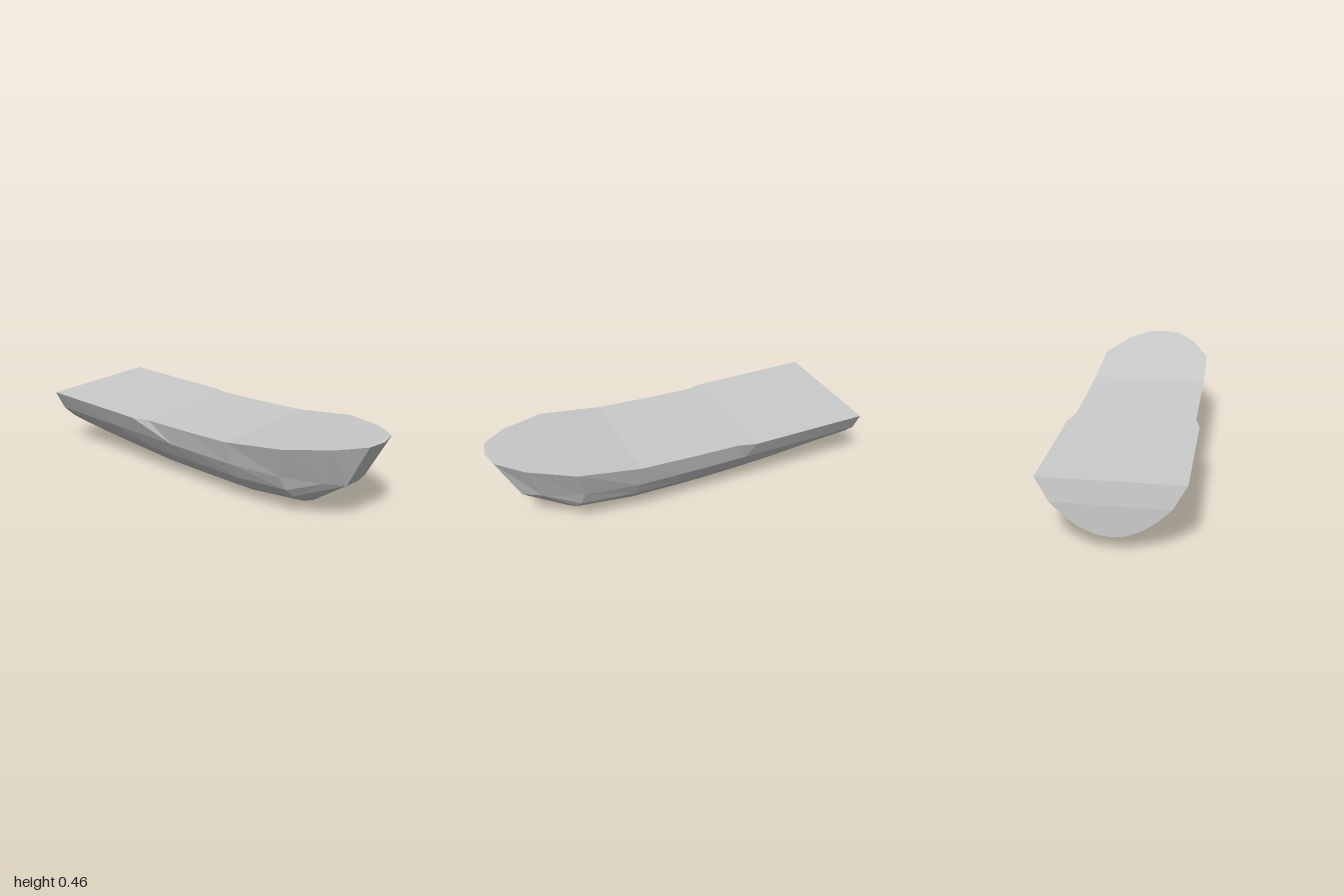
import * as THREE from 'three';

// Half sections from stern to bow: [x, y, z] from deck edge down to keel
const section = (zDeck, z, xy) => xy.map(([x, y], i) => [x, y, i === 0 ? zDeck : z]);
const stations = [
  section(-0.988, -1, [[0.336, 0.35], [0.272, 0.237], [0.205, 0.17], [0.145, 0.125], [0.065, 0.09], [0, 0.083]]),
  section(-0.78, -0.78, [[0.336, 0.35], [0.276, 0.238], [0.212, 0.163], [0.153, 0.11], [0.075, 0.069], [0, 0.057]]),
  section(-0.55, -0.55, [[0.336, 0.35], [0.28, 0.24], [0.218, 0.156], [0.16, 0.098], [0.085, 0.05], [0, 0.03]]),
  section(-0.34, -0.31, [[0.336, 0.35], [0.28, 0.24], [0.22, 0.15], [0.163, 0.089], [0.09, 0.035], [0, 0.004]]),
  section(-0.24, -0.1, [[0.312, 0.352], [0.28, 0.24], [0.22, 0.148], [0.165, 0.085], [0.09, 0.033], [0, 0.001]]),
  section(0, 0.05, [[0.312, 0.358], [0.278, 0.24], [0.22, 0.148], [0.165, 0.085], [0.09, 0.033], [0, 0]]),
  section(0.3, 0.3, [[0.314, 0.371], [0.272, 0.24], [0.22, 0.15], [0.163, 0.087], [0.09, 0.034], [0, 0.003]]),
];
// Bow shoulder, then facets gathering onto the stem
const b = [0.135, 0.227, 0.77], c = [0.08, 0.225, 0.86], d = [0, 0.224, 0.87];
stations.push(
  [[0.306, 0.42, 0.63], [0.235, 0.24, 0.58], [0.195, 0.16, 0.59], [0.15, 0.112, 0.6], [0.072, 0.063, 0.615], [0, 0.045, 0.625]],
  [[0.205, 0.446, 0.855], b, b, b, c, d],
  [[0.098, 0.461, 0.98], c, c, c, c, d],
  [[0, 0.462, 1], d, d, d, d, d],
);

const mirror = ([x, y, z]) => [-x, y, z];

// Flat-shaded mesh from a list of quads, dropping collapsed triangles
function facetMesh(name, quads, material) {
  const pos = [];
  const V = (p) => new THREE.Vector3(...p);
  const tri = (p, q, r) => {
    const area = V(q).sub(V(p)).cross(V(r).sub(V(p))).length();
    if (area > 1e-7) pos.push(...p, ...q, ...r);
  };
  for (const [p, q, r, s] of quads) {
    tri(p, q, r);
    tri(p, r, s);
  }
  const geometry = new THREE.BufferGeometry();
  geometry.setAttribute('position', new THREE.Float32BufferAttribute(pos, 3));
  geometry.computeVertexNormals();
  const mesh = new THREE.Mesh(geometry, material);
  mesh.name = name;
  return mesh;
}

export function createModel() {
  const group = new THREE.Group();
  group.name = 'boatHull';
  const material = new THREE.MeshStandardMaterial({ color: 0xcccccc, flatShading: true, side: THREE.DoubleSide });

  const sides = [], deck = [], transom = [];
  for (let i = 0; i < stations.length - 1; i++) {
    const s = stations[i], t = stations[i + 1];
    // Planking on both sides
    for (let j = 0; j < s.length - 1; j++) {
      const quad = [s[j], t[j], t[j + 1], s[j + 1]];
      sides.push([...quad].reverse(), quad.map(mirror));
    }
    // Deck strip across the hull
    deck.push([s[0], mirror(s[0]), mirror(t[0]), t[0]]);
  }
  // Flat stern
  const stern = stations[0];
  for (let j = 0; j < stern.length - 1; j++) {
    transom.push([stern[j], stern[j + 1], mirror(stern[j + 1]), mirror(stern[j])]);
  }

  group.add(
    facetMesh('hullSides', sides, material),
    facetMesh('deck', deck, material),
    facetMesh('transom', transom, material),
  );
  return group;
}
